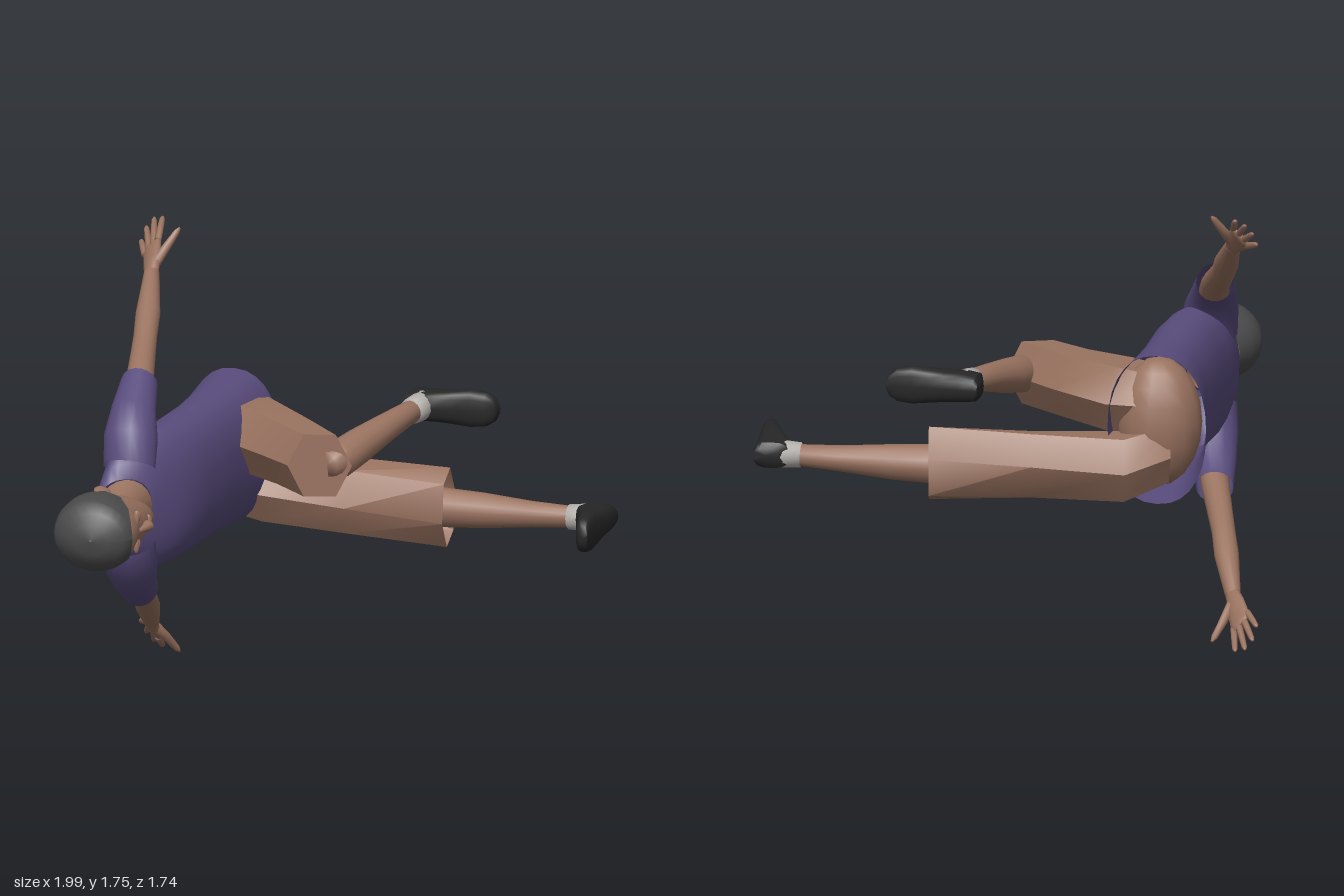
import * as THREE from 'three';
import { toCreasedNormals } from 'three/addons/utils/BufferGeometryUtils.js';

const V = (x, y, z) => new THREE.Vector3(x, y, z);
const MID = 0.875; // height of the body's plane of symmetry

function material(name, color, side = THREE.DoubleSide) {
  const m = new THREE.MeshStandardMaterial({ color, side });
  m.name = name;
  return m;
}

// Skin through elliptical rings { c, u, v, a }: centre, two half axes, start angle of an open ring
function loft(rings, { n = 16, power = 1, capStart = false, capEnd = false, open = false } = {}) {
  const pos = [], idx = [];
  const first = rings[0], last = rings[rings.length - 1];
  const axis = last.c.clone().sub(first.c);
  const turn = first.u.clone().cross(first.v).dot(axis) < 0 ? -1 : 1;
  const bend = (k) => Math.sign(k) * Math.abs(k) ** power;
  const count = open ? n + 1 : n;
  for (const { c, u, v, a = 0 } of rings) {
    for (let j = 0; j < count; j++) {
      const t = a + (j / n) * (2 * Math.PI - 2 * a);
      const p = c.clone().addScaledVector(u, bend(Math.cos(t))).addScaledVector(v, turn * bend(Math.sin(t)));
      pos.push(p.x, p.y, p.z);
    }
  }
  for (let i = 0; i < rings.length - 1; i++) {
    for (let j = 0; j < n; j++) {
      const k = (j + 1) % count;
      const a = i * count + j, b = i * count + k, c = a + count, d = b + count;
      idx.push(a, b, c, b, d, c);
    }
  }
  const cap = (ring, start, flip) => {
    const centre = pos.length / 3;
    pos.push(ring.c.x, ring.c.y, ring.c.z);
    for (let j = 0; j < n; j++) {
      const a = start + j, b = start + ((j + 1) % count);
      if (flip) idx.push(centre, b, a);
      else idx.push(centre, a, b);
    }
  };
  if (capStart) cap(first, 0, true);
  if (capEnd) cap(last, (rings.length - 1) * count, false);
  const g = new THREE.BufferGeometry();
  g.setAttribute('position', new THREE.Float32BufferAttribute(pos, 3));
  g.setIndex(idx);
  g.computeVertexNormals();
  return g;
}

// Round limb through points with a radius at each
function limb(points, radii, n = 10) {
  const ref = V(0.3, 0.9, 0.2);
  const rings = points.map((c, i) => {
    const d = points[Math.min(i + 1, points.length - 1)].clone().sub(points[Math.max(i - 1, 0)]).normalize();
    const u = ref.clone().addScaledVector(d, -ref.dot(d)).normalize();
    const v = d.clone().cross(u);
    return { c, u: u.multiplyScalar(radii[i]), v: v.multiplyScalar(radii[i]) };
  });
  return loft(rings, { n, capStart: true, capEnd: true });
}

export function createModel() {
  const skin = material('skin', 0x9a7360);
  const shirt = material('shirt purple', 0x594c7d);
  const hair = material('hair grey', 0x4b4b4b);
  const shoe = material('shoe black', 0x262626);
  const sock = material('sock grey', 0xb5b1ad);

  const model = new THREE.Group();
  model.name = 'recliningFigure';
  const add = (name, geo, mat) => {
    const m = new THREE.Mesh(geo, mat);
    m.name = name;
    model.add(m);
    return m;
  };
  const blob = (name, c, r, mat) => add(name, new THREE.SphereGeometry(1, 14, 10).scale(...r).translate(...c), mat);

  // Shirt body: z, centre x, half depth, half width, forward tilt
  const torso = [
    [-0.73, -0.595, 0.195, 0.3, 0.035], [-0.5, -0.615, 0.17, 0.285, 0.02], [-0.3, -0.64, 0.16, 0.273, 0.01],
    [0, -0.68, 0.16, 0.273, 0], [0.12, -0.71, 0.155, 0.28, 0], [0.21, -0.74, 0.14, 0.275, -0.01],
    [0.28, -0.765, 0.125, 0.24, -0.03], [0.33, -0.777, 0.113, 0.175, -0.045], [0.355, -0.78, 0.1, 0.118, -0.055],
  ].map(([z, x, rx, ry, tilt]) => ({ c: V(x, MID, z), u: V(rx, 0, tilt), v: V(0, ry, 0) }));
  add('shirtBody', loft(torso, { n: 28, power: 0.88 }), shirt);

  // Neck
  const neck = [
    [0.342, -0.78, 0.097, 0.113, -0.053], [0.4, -0.783, 0.08, 0.092, -0.025],
    [0.47, -0.79, 0.072, 0.08, 0], [0.6, -0.8, 0.075, 0.08, 0],
  ].map(([z, x, rx, ry, tilt]) => ({ c: V(x, MID, z), u: V(rx, 0, tilt), v: V(0, ry, 0) }));
  add('neck', loft(neck, { n: 20 }), skin);

  // Head: z, front x, back x, half width, hairline angle in degrees
  const headRing = ([z, front, back, ry, deg = 0]) => ({
    c: V((front + back) / 2, MID, z), u: V((front - back) / 2, 0, 0), v: V(0, ry, 0), a: (deg * Math.PI) / 180,
  });
  const skull = [
    [0.455, -0.645, -0.71, 0.035], [0.475, -0.632, -0.79, 0.068], [0.53, -0.635, -0.87, 0.1],
    [0.6, -0.638, -0.92, 0.122], [0.67, -0.642, -0.945, 0.132], [0.74, -0.638, -0.95, 0.134],
    [0.8, -0.655, -0.935, 0.115], [0.845, -0.71, -0.88, 0.07],
  ].map(headRing);
  add('head', loft(skull, { n: 24, capStart: true, capEnd: true }), skin);
  const hairCap = [
    [0.525, -0.65, -0.885, 0.105, 112], [0.58, -0.635, -0.935, 0.13, 102], [0.64, -0.63, -0.962, 0.145, 88],
    [0.67, -0.63, -0.97, 0.15, 62], [0.73, -0.63, -0.972, 0.152, 42], [0.785, -0.635, -0.963, 0.145, 26],
    [0.8, -0.64, -0.955, 0.138, 0], [0.84, -0.665, -0.92, 0.105, 0], [0.862, -0.72, -0.87, 0.06, 0],
    [0.87, -0.79, -0.8, 0.004, 0],
  ].map(headRing);
  add('hair', loft(hairCap, { n: 24, open: true }), hair);

  // Face
  const nose = [[0.57, -0.637, 0.008, 0.012], [0.583, -0.632, 0.026, 0.022], [0.6, -0.632, 0.028, 0.02],
    [0.635, -0.638, 0.016, 0.013], [0.675, -0.645, 0.008, 0.01]]
    .map(([z, x, rx, ry]) => ({ c: V(x, MID, z), u: V(rx, 0, 0), v: V(0, ry, 0) }));
  add('nose', loft(nose, { n: 10, capStart: true, capEnd: true }), skin);
  blob('upperLip', [-0.638, MID, 0.543], [0.012, 0.034, 0.007], skin);
  blob('lowerLip', [-0.638, MID, 0.53], [0.012, 0.028, 0.007], skin);

  for (const s of [1, -1]) {
    const side = s > 0 ? 'right' : 'left';
    const P = (x, y, z) => V(x, MID + s * (y - MID), z);
    const D = (x, y, z) => V(x, s * y, z);

    blob(side + 'Eye', [-0.655, MID + s * 0.055, 0.66], [0.013, 0.024, 0.012], skin);
    blob(side + 'Brow', [-0.652, MID + s * 0.055, 0.692], [0.012, 0.032, 0.008], skin);
    const ear = blob(side + 'Ear', [0, 0, 0], [0.034, 0.014, 0.05], skin);
    ear.position.set(-0.81, MID + s * 0.133, 0.605);
    ear.rotation.z = s * -0.3;

    // Sleeve
    add(side + 'Sleeve', loft([
      { c: P(-0.78, 1.02, 0.27), u: D(0.105, 0, 0), v: D(0, 0.05, 0.08) },
      { c: P(-0.782, 1.13, 0.235), u: D(0.108, 0, 0), v: D(0, 0.06, 0.085) },
      { c: P(-0.795, 1.215, 0.135), u: D(0.09, 0, 0), v: D(0, 0.055, 0.05) },
      { c: P(-0.803, 1.29, 0), u: D(0.074, 0, 0), v: D(0, 0.07, 0.03) },
    ], { n: 18 }), shirt);

    // Arm
    add(side + 'Arm', limb([P(-0.795, 1.22, 0.12), P(-0.805, 1.285, 0), P(-0.83, 1.36, -0.17), P(-0.845, 1.405, -0.27),
      P(-0.86, 1.47, -0.38), P(-0.89, 1.585, -0.57)], [0.06, 0.056, 0.05, 0.047, 0.049, 0.031], 14), skin);

    // Hand: palm, four fingers and thumb
    const width = (k) => D(0.65 * k, 0.75 * k, 0);
    const thick = (k) => D(-0.64 * k, 0.55 * k, 0.48 * k);
    add(side + 'Palm', loft([
      { c: P(-0.888, 1.578, -0.56), u: width(0.03), v: thick(0.027) },
      { c: P(-0.903, 1.615, -0.63), u: width(0.047), v: thick(0.023) },
      { c: P(-0.923, 1.655, -0.715), u: width(0.053), v: thick(0.016) },
      { c: P(-0.927, 1.662, -0.73), u: width(0.045), v: thick(0.01) },
    ], { n: 12, capStart: true, capEnd: true }), skin);
    [[-0.905, 1.748, -0.82], [-0.945, 1.735, -0.845], [-0.975, 1.7, -0.838], [-0.99, 1.65, -0.81]].forEach((tip, i) => {
      const base = P(-0.897 - i * 0.018, 1.685 - i * 0.022, -0.705), end = P(...tip);
      add(side + 'Finger' + (i + 1), limb([base, base.clone().lerp(end, 0.55), base.clone().lerp(end, 0.9), end],
        [0.014, 0.013, 0.011, 0.005], 8), skin);
    });
    add(side + 'Thumb', limb([P(-0.885, 1.615, -0.61), P(-0.852, 1.67, -0.665), P(-0.82, 1.722, -0.7), P(-0.81, 1.737, -0.71)],
      [0.022, 0.018, 0.013, 0.005], 8), skin);
  }

  // Six-sided shorts legs
  const shorts = (name, rings, opts) =>
    add(name, toCreasedNormals(loft(rings, { n: 6, capStart: true, ...opts }), 0.8), skin);
  shorts('leftShortsLeg', [
    { c: V(-0.63, 0.76, -0.62), u: V(-0.02, 0, -0.11), v: V(0, 0.13, 0) },
    { c: V(-0.46, 0.715, -0.685), u: V(-0.01, 0, -0.145), v: V(0, 0.145, 0) },
    { c: V(-0.1, 0.71, -0.64), u: V(0, 0.02, -0.132), v: V(0, 0.148, 0) },
    { c: V(0.305, 0.7, -0.59), u: V(0, 0.04, -0.11), v: V(0, 0.155, 0.03) },
  ]);
  shorts('rightShortsLeg', [
    { c: V(-0.62, 0.96, -0.58), u: V(0.07, 0, -0.12), v: V(0, 0.13, 0) },
    { c: V(-0.46, 0.965, -0.53), u: V(0.07, 0, -0.15), v: V(0, 0.155, 0) },
    { c: V(-0.27, 0.962, -0.335), u: V(0.09, 0, -0.1), v: V(0, 0.145, 0) },
    { c: V(-0.11, 0.96, -0.145), u: V(0.125, 0, -0.025), v: V(0, 0.145, 0) },
  ], { capEnd: true });
  blob('pelvis', [-0.6, MID, -0.58], [0.17, 0.26, 0.15], skin);

  // Shins and socks
  add('leftShin', limb([V(0.1, 0.7, -0.61), V(0.31, 0.698, -0.592), V(0.45, 0.7, -0.577), V(0.65, 0.705, -0.548), V(0.83, 0.712, -0.52)],
    [0.085, 0.077, 0.07, 0.052, 0.042], 14), skin);
  add('leftSock', limb([V(0.81, 0.711, -0.522), V(0.9, 0.715, -0.512)], [0.05, 0.056], 14), sock);
  add('rightShin', limb([V(-0.08, 0.965, -0.15), V(-0.05, 0.97, -0.22), V(0, 0.995, -0.35), V(0.07, 1.03, -0.52), V(0.14, 1.06, -0.69)],
    [0.05, 0.075, 0.07, 0.056, 0.044], 14), skin);
  add('rightSock', limb([V(0.133, 1.057, -0.675), V(0.165, 1.065, -0.765)], [0.052, 0.058], 14), sock);

  // Shoe from the sole's heel, pointing along f with n as its up direction
  const addShoe = (name, heel, f, n) => {
    const side = f.clone().cross(n).normalize();
    const rings = [[0, 0.1, 0.03], [0.015, 0.138, 0.052], [0.08, 0.15, 0.06], [0.14, 0.128, 0.062],
      [0.2, 0.1, 0.068], [0.27, 0.077, 0.076], [0.33, 0.062, 0.068], [0.362, 0.048, 0.046], [0.372, 0.035, 0.02]]
      .map(([t, h, w]) => ({
        c: heel.clone().addScaledVector(f, t).addScaledVector(n, h / 2),
        u: side.clone().multiplyScalar(w), v: n.clone().multiplyScalar(h / 2),
      }));
    add(name, toCreasedNormals(loft(rings, { n: 16, power: 0.65, capStart: true, capEnd: true }), 0.8), shoe);
  };
  addShoe('leftShoe', V(0.998, 0.717, -0.56), V(-0.1, 0, 0.995), V(-0.995, 0, -0.1));
  addShoe('rightShoe', V(0.11, 1.062, -0.872), V(0.967, 0, 0.256), V(-0.256, 0, 0.967));

  return model;
}
